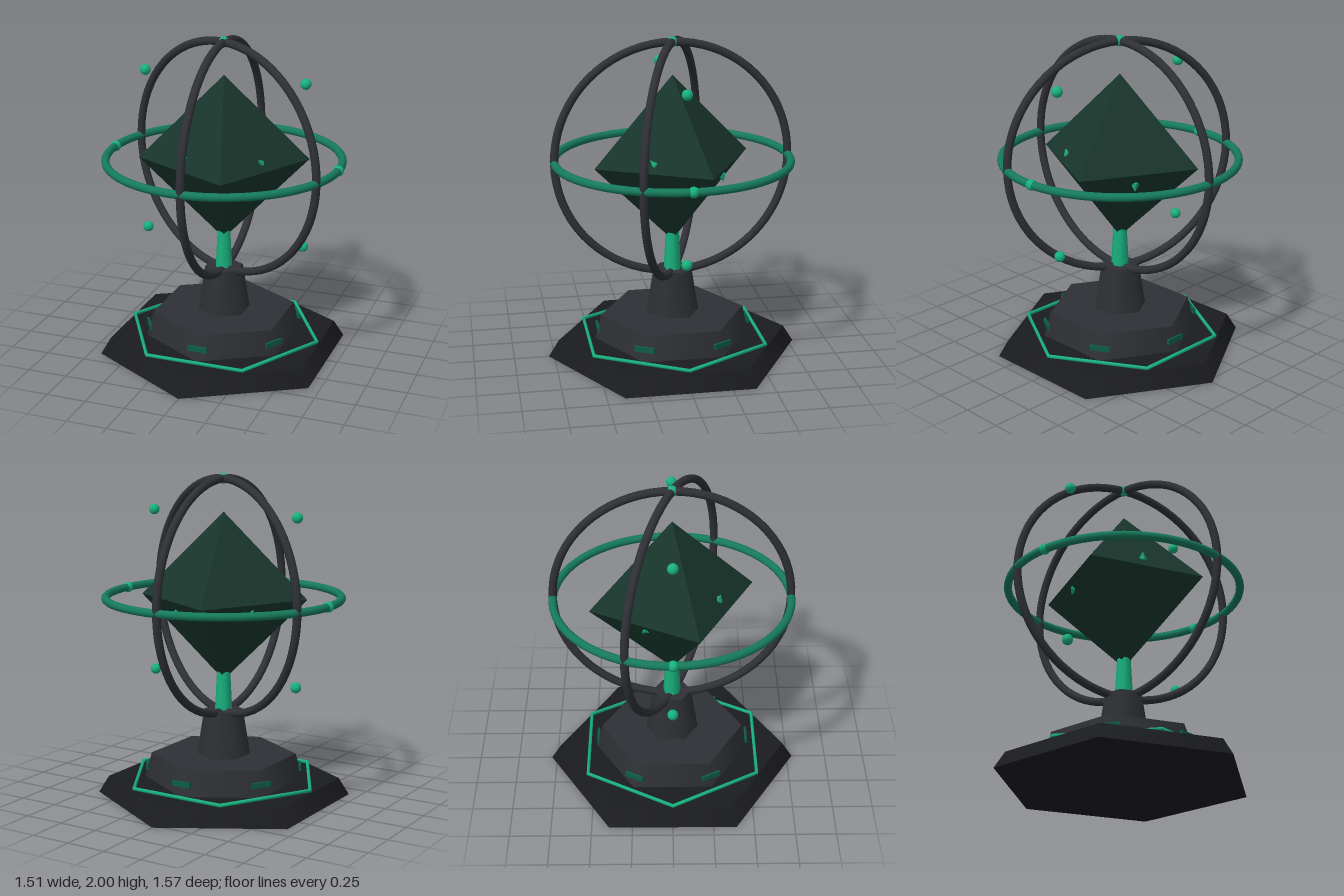
import * as THREE from 'three';

const paint = (color, flatShading = false) => new THREE.MeshStandardMaterial({ color, flatShading });

export function createModel() {
  const model = new THREE.Group();
  const black = paint(0x1b1c20);
  const charcoal = paint(0x2e3035);
  const emerald = paint(0x18b07c);
  const teal = paint(0x157a5b);
  const darkTeal = paint(0x0d5c45);
  const crystalGreen = paint(0x18352b, true);
  const shardGreen = paint(0x18a374, true);

  const add = (name, geometry, material, x = 0, y = 0, z = 0, parent = model) => {
    const mesh = new THREE.Mesh(geometry, material);
    mesh.name = name;
    mesh.position.set(x, y, z);
    parent.add(mesh);
    return mesh;
  };
  // Tapered prism standing between two heights
  const tier = (name, rTop, rBottom, y0, y1, sides, material) =>
    add(name, new THREE.CylinderGeometry(rTop, rBottom, y1 - y0, sides), material, 0, (y0 + y1) / 2, 0);

  // Hexagonal pedestal
  tier('base', 0.72, 0.785, 0, 0.105, 6, black);
  tier('plinth', 0.45, 0.49, 0.105, 0.26, 6, charcoal);
  tier('neck', 0.12, 0.165, 0.26, 0.545, 6, charcoal);
  tier('stem', 0.04, 0.055, 0.54, 0.82, 8, emerald);

  // Glowing hexagonal trim on the base
  add('baseTrim', new THREE.TorusGeometry(0.615, 0.012, 8, 6), emerald, 0, 0.117, 0).rotation.x = Math.PI / 2;

  // Small light panels around the plinth
  for (let i = 0; i < 6; i++) {
    const a = (i * Math.PI) / 3;
    add('plinthLight', new THREE.BoxGeometry(0.125, 0.033, 0.015), darkTeal,
      0.475 * Math.sin(a), 0.181, 0.475 * Math.cos(a)).rotation.y = a;
  }

  // Everything above turns about one centre
  const sphere = new THREE.Group();
  sphere.name = 'ringSphere';
  sphere.position.y = 1.25;
  model.add(sphere);

  // Crystal with shards breaking through its faces on opposite sides
  add('crystal', new THREE.OctahedronGeometry(0.52), crystalGreen, 0, 0, 0, sphere).rotation.y = 0.31;
  for (const s of [1, -1]) {
    for (const [x, y, z, r] of [[-0.15, 0.07, 0.275, 0.04], [0.29, 0.045, 0.155, 0.034]]) {
      const shard = add('shard', new THREE.OctahedronGeometry(r), shardGreen, s * x, s * y, s * z, sphere);
      shard.scale.set(0.7, 1.2, 0.7);
      shard.rotation.set(0.4, Math.atan2(x, z), 0.3);
    }
  }

  // Three crossing rings
  const ring = (name, material, rx, ry) =>
    add(name, new THREE.TorusGeometry(0.72, 0.025, 12, 72), material, 0, 0, 0, sphere).rotation.set(rx, ry, 0);
  ring('equatorRing', teal, Math.PI / 2, 0);
  ring('turnedRing', charcoal, 0, -Math.PI / 8);
  ring('meridianRing', charcoal, 0, Math.PI / 2);

  // Eight beads circling in the front plane
  for (let i = 0; i < 8; i++) {
    const a = (i * Math.PI) / 4;
    add('bead', new THREE.SphereGeometry(0.033, 16, 12), emerald, 0.72 * Math.cos(a), 0.72 * Math.sin(a), 0, sphere);
  }

  return model;
}
